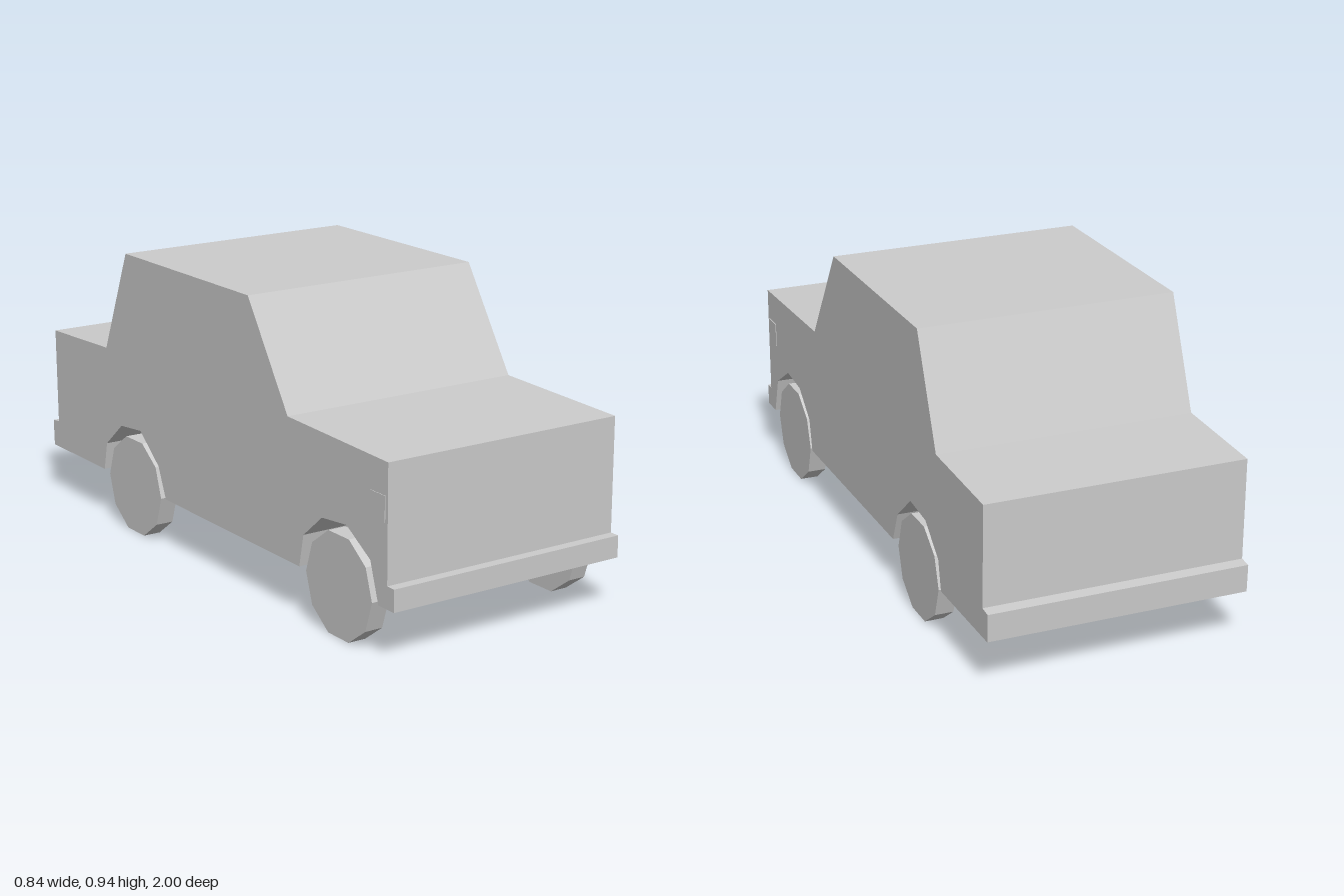
import * as THREE from 'three';

const WIDTH = 0.834;

export function createModel() {
  const car = new THREE.Group();
  car.name = 'car';
  const material = new THREE.MeshStandardMaterial({ color: 0xcccccc, flatShading: true });

  const add = (name, geometry, x = 0, y = 0, z = 0) => {
    const mesh = new THREE.Mesh(geometry, material);
    mesh.name = name;
    mesh.position.set(x, y, z);
    car.add(mesh);
  };

  // Body: side profile as (z, y), with bumpers, cabin and wheel arches
  const profile = [
    [1, 0.165], [1, 0.235], [0.967, 0.235], [0.967, 0.6], // front bumper and nose
    [0.465, 0.615], [0.254, 0.94], [-0.472, 0.94], [-0.613, 0.598], // bonnet and cabin
    [-0.967, 0.585], [-0.962, 0.262], [-1, 0.258], [-0.997, 0.17], // boot and rear bumper
    [-0.645, 0.17], [-0.625, 0.265], [-0.524, 0.35], [-0.4, 0.362], [-0.288, 0.27], [-0.245, 0.168], // rear arch
    [0.525, 0.165], [0.547, 0.27], [0.643, 0.35], [0.767, 0.362], [0.885, 0.29], [0.925, 0.165], // front arch
  ];
  const shape = new THREE.Shape(profile.map(([z, y]) => new THREE.Vector2(z, y)));
  const body = new THREE.ExtrudeGeometry(shape, { depth: WIDTH, bevelEnabled: false });
  body.translate(0, 0, -WIDTH / 2).rotateY(-Math.PI / 2);
  add('body', body);

  // Ten-sided wheels and thin side markers on both flanks
  const wheel = new THREE.CylinderGeometry(0.167, 0.167, 0.06, 10).rotateZ(Math.PI / 2);
  const marker = new THREE.BoxGeometry(0.004, 0.08, 0.07);
  for (const [side, s] of [['left', 1], ['right', -1]]) {
    add(`${side}FrontWheel`, wheel, s * 0.383, 0.16, 0.722);
    add(`${side}RearWheel`, wheel, s * 0.383, 0.16, -0.449);
    add(`${side}SideMarker`, marker, s * WIDTH / 2, 0.46, 0.92);
  }

  return car;
}
